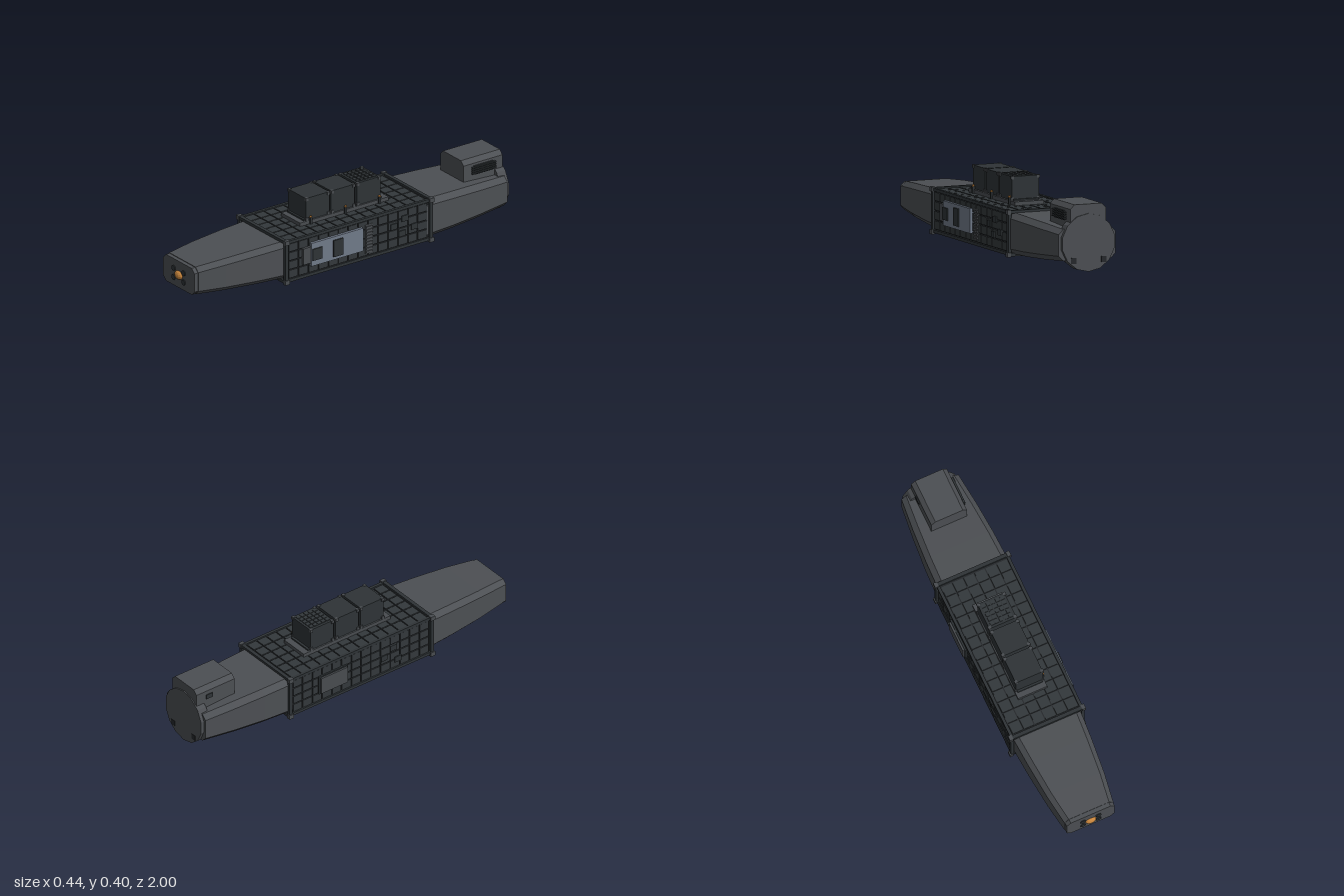
import * as THREE from 'three';
import { mergeGeometries } from 'three/addons/utils/BufferGeometryUtils.js';

const mat = (color) => new THREE.MeshStandardMaterial({ color, flatShading: true });
const HULL = mat(0x4c4f53), DARK = mat(0x2e3336), TILE = mat(0x33383b), FRAME = mat(0x484c50);
const LIGHT = mat(0x707a89), ORANGE = mat(0xc6843c), BLACK = mat(0x25282b);

// box geometry from its min/max corners
function boxGeo([x0, x1], [y0, y1], [z0, z1]) {
  return new THREE.BoxGeometry(x1 - x0, y1 - y0, z1 - z0)
    .translate((x0 + x1) / 2, (y0 + y1) / 2, (z0 + z1) / 2);
}

// loft of chamfered rectangles, sections [z, halfWidth, yLow, yHigh, cut], ordered by rising z
function loftGeo(sections) {
  const rings = sections.map(([z, w, a, b, c]) => [
    [w, a + c], [w, b - c], [w - c, b], [c - w, b], [-w, b - c], [-w, a + c], [c - w, a], [w - c, a],
  ].map(([x, y]) => [x, y, z]));
  const pos = [];
  const tri = (...p) => p.forEach((v) => pos.push(...v));
  for (let i = 0; i < rings.length - 1; i++) {
    for (let j = 0; j < 8; j++) {
      const k = (j + 1) % 8, A = rings[i], B = rings[i + 1];
      tri(A[j], A[k], B[k]);
      tri(A[j], B[k], B[j]);
    }
  }
  const back = rings[0], front = rings[rings.length - 1];
  for (let j = 1; j < 7; j++) {
    tri(front[0], front[j], front[j + 1]);
    tri(back[0], back[j + 1], back[j]);
  }
  const g = new THREE.BufferGeometry();
  g.setAttribute('position', new THREE.Float32BufferAttribute(pos, 3));
  g.computeVertexNormals();
  return g;
}

export function createModel() {
  const root = new THREE.Group();
  root.name = 'containerCraft';
  const add = (name, geo, material) => {
    const m = new THREE.Mesh(Array.isArray(geo) ? mergeGeometries(geo) : geo, material);
    m.name = name;
    root.add(m);
    return m;
  };
  const box = (name, x, y, z, material) => add(name, boxGeo(x, y, z), material);

  // tapered nose and tail hulls
  add('noseHull', loftGeo([
    [0.44, 0.188, 0.037, 0.242, 0.026], [0.6, 0.178, 0.043, 0.237, 0.026],
    [0.8, 0.16, 0.054, 0.228, 0.025], [0.96, 0.137, 0.065, 0.217, 0.024],
  ]), HULL);
  add('nosePlate', loftGeo([[0.955, 0.134, 0.067, 0.214, 0.023], [0.982, 0.134, 0.067, 0.214, 0.023]]), HULL);
  add('tailHull', loftGeo([
    [-0.98, 0.16, 0.06, 0.223, 0.026], [-0.8, 0.178, 0.046, 0.233, 0.028],
    [-0.62, 0.19, 0.036, 0.24, 0.028], [-0.44, 0.196, 0.03, 0.245, 0.028],
  ]), HULL);

  // nose lamp and four round ports
  const lamp = add('noseLamp', new THREE.SphereGeometry(1, 12, 8), ORANGE);
  lamp.scale.set(0.031, 0.023, 0.018);
  lamp.position.set(0, 0.138, 0.982);
  const ports = [];
  for (const x of [-0.043, 0.043]) for (const y of [0.112, 0.163]) {
    ports.push(new THREE.CylinderGeometry(0.015, 0.015, 0.008, 16).rotateX(Math.PI / 2).translate(x, y, 0.983));
  }
  add('nosePorts', ports, DARK);

  // tail disc with two small vents
  add('tailDisc', new THREE.CylinderGeometry(0.15, 0.15, 0.055, 14).rotateX(Math.PI / 2)
    .translate(0, 0.15, -0.9705), HULL);
  add('tailVents', [-1, 1].map((s) =>
    boxGeo([s * 0.085 - 0.015, s * 0.085 + 0.015], [0.045, 0.075], [-1, -0.94])), BLACK);

  // raised tail housing with chamfered top, side grille and hatch
  const outline = new THREE.Shape([
    [-0.1, 0.18], [0.1, 0.18], [0.1, 0.325], [0.077, 0.348], [-0.077, 0.348], [-0.1, 0.325],
  ].map((p) => new THREE.Vector2(...p)));
  add('tailHousing', new THREE.ExtrudeGeometry(outline, { depth: 0.246, bevelEnabled: false })
    .translate(0, 0, -0.992), HULL);
  const grille = [boxGeo([0.095, 0.107], [0.263, 0.312], [-0.93, -0.81])];
  for (let i = 0; i < 4; i++) {
    grille.push(boxGeo([0.1, 0.113], [0.268 + i * 0.011, 0.274 + i * 0.011], [-0.945, -0.795]));
  }
  add('housingGrille', grille, DARK);
  box('housingHatch', [-0.105, -0.095], [0.278, 0.303], [-0.93, -0.89], DARK);

  // central body
  box('bodyCore', [-0.193, 0.193], [0.03, 0.246], [-0.455, 0.445], BLACK);

  // raised tiles over top, bottom and both sides
  const tiles = [], gap = 0.003, rows = 14, dz = 0.88 / rows;
  for (let i = 0; i < rows; i++) {
    const z = [-0.446 + i * dz + gap, -0.446 + (i + 1) * dz - gap];
    for (let j = 0; j < 6; j++) {
      const x = [-0.186 + j * 0.062 + gap, -0.186 + (j + 1) * 0.062 - gap];
      tiles.push(boxGeo(x, [0.24, 0.251], z), boxGeo(x, [0.026, 0.04], z));
    }
    for (let j = 0; j < 4; j++) {
      const y = [0.042 + j * 0.049 + gap, 0.042 + (j + 1) * 0.049 - gap];
      for (const s of [-1, 1]) tiles.push(boxGeo([s * 0.194 - 0.005, s * 0.194 + 0.005], y, z));
    }
  }
  add('bodyTiles', tiles, TILE);

  // edge rails, end collars and corner blocks
  const rails = [], corners = [];
  for (const s of [-1, 1]) {
    const x = [s * 0.195 - 0.008, s * 0.195 + 0.008];
    for (const y of [0.033, 0.247]) rails.push(boxGeo(x, [y - 0.008, y + 0.008], [-0.46, 0.45]));
    for (const zc of [-0.464, 0.449]) {
      const z = [zc - 0.01, zc + 0.01];
      rails.push(boxGeo([s * 0.198 - 0.009, s * 0.198 + 0.009], [0.03, 0.25], z));
      for (const y of [0.029, 0.249]) {
        if (s > 0) rails.push(boxGeo([-0.2, 0.2], [y - 0.008, y + 0.008], z));
        corners.push(boxGeo([s * 0.203 - 0.01, s * 0.203 + 0.01], [y - 0.012, y + 0.012], [zc - 0.014, zc + 0.014]));
      }
    }
  }
  add('bodyRails', rails, DARK);
  add('cornerBlocks', corners, FRAME);

  // left side: light door panel with windows, and a louvre strip
  box('doorPanel', [0.19, 0.214], [0.082, 0.21], [-0.028, 0.3], LIGHT);
  box('doorEndPanel', [0.19, 0.21], [0.1, 0.19], [0.3, 0.348], FRAME);
  box('frontWindow', [0.2, 0.22], [0.113, 0.177], [0.235, 0.295], DARK);
  box('rearWindow', [0.2, 0.221], [0.1, 0.192], [0.103, 0.163], DARK);
  const louvres = [boxGeo([0.19, 0.201], [0.055, 0.215], [-0.098, -0.05])];
  for (let i = 0; i < 9; i++) {
    louvres.push(boxGeo([0.195, 0.206], [0.06 + i * 0.017, 0.07 + i * 0.017], [-0.094, -0.054]));
  }
  add('louvreStrip', louvres, FRAME);

  // small equipment blocks on both sides
  const blocks = [[1, 0.16, -0.23], [1, 0.11, -0.28], [1, 0.19, -0.3], [1, 0.13, -0.36],
    [-1, 0.13, 0.14], [-1, 0.17, 0.2], [-1, 0.09, 0.23]];
  add('sideBlocks', blocks.map(([s, y, z]) =>
    boxGeo([s * 0.198 - 0.007, s * 0.198 + 0.007], [y - 0.016, y + 0.016], [z - 0.02, z + 0.02])), DARK);

  // right side plate
  box('sidePlate', [-0.218, -0.19], [0.095, 0.188], [-0.275, -0.105], FRAME);
  box('sidePlateRim', [-0.208, -0.19], [0.088, 0.195], [-0.283, -0.097], DARK);

  // plinth with three containers, corner blocks and lamps
  box('plinth', [-0.082, 0.082], [0.24, 0.27], [-0.285, 0.275], FRAME);
  box('plinthStep', [-0.07, 0.07], [0.265, 0.278], [-0.25, 0.245], DARK);
  const caps = [], lamps = [];
  for (const [i, zc] of [0.16, 0, -0.163].entries()) {
    box('container' + (i + 1), [-0.076, 0.076], [0.272, 0.394], [zc - 0.074, zc + 0.074], DARK);
    for (const x of [-0.073, 0.073]) for (const z of [zc - 0.068, zc + 0.068]) for (const y of [0.278, 0.388]) {
      caps.push(boxGeo([x - 0.008, x + 0.008], [y - 0.008, y + 0.008], [z - 0.008, z + 0.008]));
    }
  }
  for (const z of [0.21, -0.01, -0.225]) {
    lamps.push(new THREE.SphereGeometry(0.007, 8, 6).translate(0.085, 0.29, z));
    box('lampPost', [0.079, 0.091], [0.25, 0.287], [z - 0.006, z + 0.006], DARK);
  }
  add('containerCorners', caps, FRAME);
  add('sideLamps', lamps, ORANGE);

  // studded lid on the rear container
  const studs = [];
  for (let i = 0; i < 5; i++) for (let j = 0; j < 5; j++) {
    const x = (i - 2) * 0.026, z = -0.163 + (j - 2) * 0.026;
    studs.push(boxGeo([x - 0.01, x + 0.01], [0.39, 0.398], [z - 0.01, z + 0.01]));
  }
  add('containerStuds', studs, TILE);

  root.position.x = -0.004;
  const model = new THREE.Group();
  model.name = 'model';
  model.add(root);
  return model;
}
